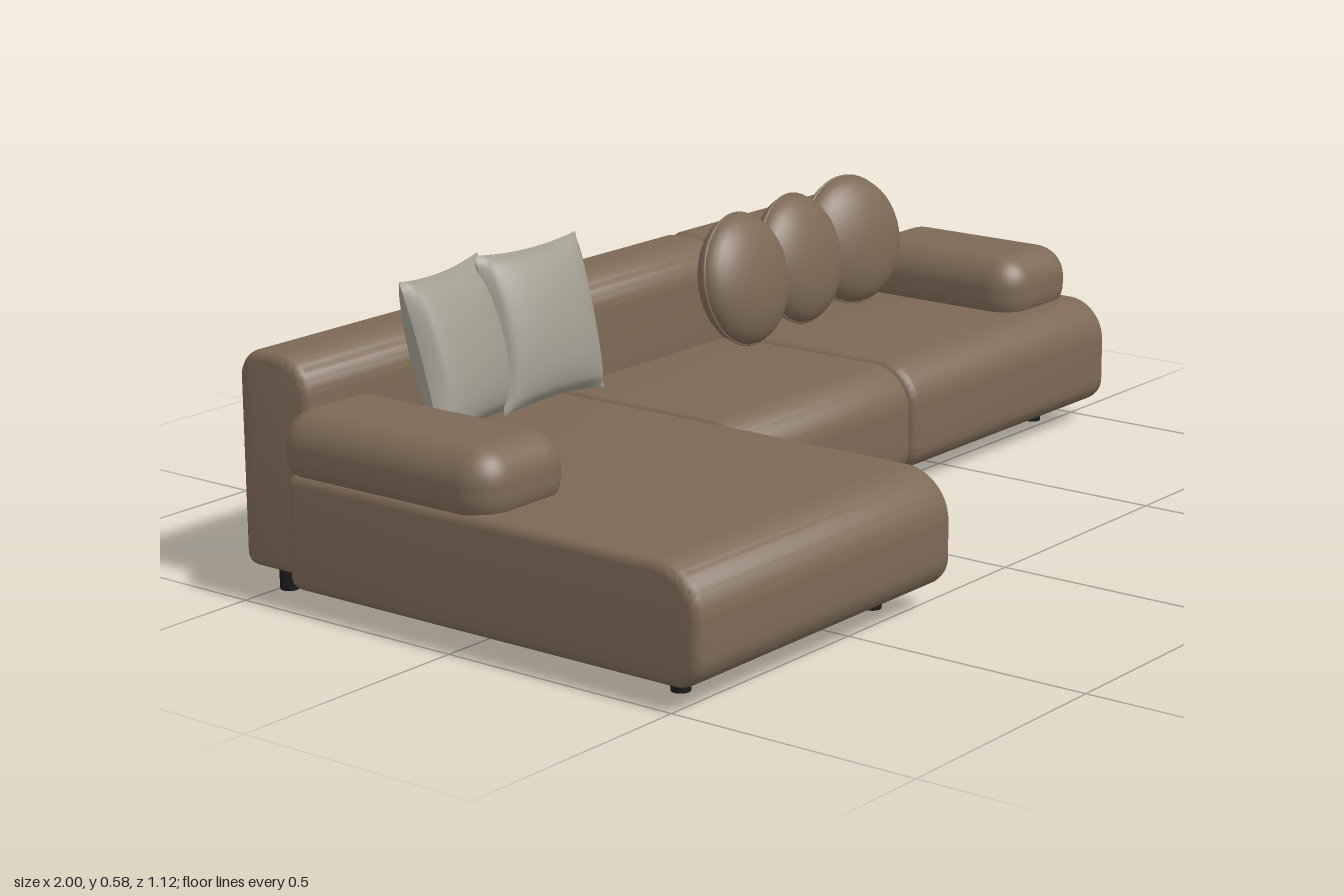
import * as THREE from 'three';
import { mergeGeometries, toCreasedNormals } from 'three/addons/utils/BufferGeometryUtils.js';
import { RoundedBoxGeometry } from 'three/addons/geometries/RoundedBoxGeometry.js';

export function createModel() {
  const sofa = new THREE.Group();
  sofa.name = 'sectionalSofa';
  const fabric = new THREE.MeshStandardMaterial({ color: 0x7d6955 });
  const linen = new THREE.MeshStandardMaterial({ color: 0xa19d90 });
  const black = new THREE.MeshStandardMaterial({ color: 0x1b1b1b });
  fabric.name = 'brownFabric';
  linen.name = 'greyLinen';
  black.name = 'blackLeg';

  const add = (name, geometry, material, x = 0, y = 0, z = 0, parent = sofa) => {
    const mesh = new THREE.Mesh(geometry, material);
    mesh.name = name;
    mesh.position.set(x, y, z);
    parent.add(mesh);
    return mesh;
  };

  // Upholstered block: a side profile with four corner radii, run along x with soft ends
  function block(x0, x1, z0, z1, y0, y1, [backLow, frontLow, frontTop, backTop]) {
    const s = new THREE.Shape();
    const arc = (cx, cy, r, start) => s.absarc(cx, cy, r, start, start + Math.PI / 2, false);
    arc(z0 + backLow, y0 + backLow, backLow, Math.PI);
    arc(z1 - frontLow, y0 + frontLow, frontLow, Math.PI * 1.5);
    arc(z1 - frontTop, y1 - frontTop, frontTop, 0);
    arc(z0 + backTop, y1 - backTop, backTop, Math.PI / 2);
    s.closePath();
    const b = 0.02;
    const g = new THREE.ExtrudeGeometry(s, {
      depth: x1 - x0 - 2 * b, curveSegments: 10,
      bevelSize: b, bevelThickness: b, bevelOffset: -b, bevelSegments: 4,
    });
    g.rotateY(-Math.PI / 2);
    g.translate(x1 - b, 0, 0);
    return toCreasedNormals(g, 0.6);
  }

  // Seats
  const seatRadii = [0.025, 0.05, 0.085, 0.025];
  add('chaiseSeat', block(-1, -0.263, -0.39, 0.56, 0.042, 0.262, [0.025, 0.06, 0.095, 0.025]), fabric);
  add('middleSeat', block(-0.26, 0.284, -0.39, 0.085, 0.042, 0.262, seatRadii), fabric);
  add('endSeat', block(0.287, 1, -0.39, 0.085, 0.042, 0.262, seatRadii), fabric);

  // Backrests
  [[-0.94, -0.263], [-0.26, 0.284], [0.287, 0.872]].forEach(([x0, x1]) =>
    add('backrest', block(x0, x1, -0.56, -0.387, 0.042, 0.457, [0.025, 0.025, 0.075, 0.055]), fabric));

  // Armrests
  add('rightArm', new RoundedBoxGeometry(0.24, 0.15, 0.515, 6, 0.066), fabric, -0.88, 0.3, -0.163);
  add('leftArm', new RoundedBoxGeometry(0.24, 0.15, 0.42, 6, 0.066), fabric, 0.88, 0.3, -0.207);

  // Legs
  const leg = new THREE.CylinderGeometry(0.019, 0.018, 0.055, 16);
  [[-0.9, 0.44], [-0.345, 0.44], [0.285, -0.035], [0.9, -0.035],
    [-0.9, -0.485], [-0.345, -0.485], [0.285, -0.485], [0.9, -0.485]].forEach(([x, z]) =>
    add('leg', leg, black, x, 0.0275, z));

  // Square scatter pillow: two puffed faces with pinched edges
  function pillowGeometry(half, puff) {
    const faces = [1, -1].map((side) => {
      const g = new THREE.PlaneGeometry(2, 2, 24, 24);
      const p = g.attributes.position;
      for (let i = 0; i < p.count; i++) {
        const u = p.getX(i), v = p.getY(i);
        const bulge = Math.pow(Math.max(0, (1 - u * u) * (1 - v * v)), 0.45);
        p.setXYZ(i, u * half * (1 - 0.07 * u * u * (1 - v * v)),
          v * half * (1 - 0.07 * v * v * (1 - u * u)), puff * bulge);
      }
      if (side < 0) g.rotateY(Math.PI);
      g.computeVertexNormals();
      return g;
    });
    return mergeGeometries(faces);
  }
  const pillow = pillowGeometry(0.153, 0.06);
  [[-0.613, 0.428, -0.312, -0.27, 0.26, -0.03], [-0.385, 0.43, -0.31, -0.24, 0.05, -0.03]]
    .forEach(([x, y, z, tilt, yaw, roll]) => {
      const m = add('squarePillow', pillow, linen, x, y, z);
      m.rotation.set(tilt, yaw, roll, 'YXZ');
    });

  // Round cushions with a piped rim
  const profile = [];
  for (let i = 0; i <= 20; i++) {
    const a = -Math.PI / 2 + (Math.PI * i) / 20;
    profile.push(new THREE.Vector2(0.133 * Math.max(0, Math.cos(a)), 0.06 * Math.sin(a)));
  }
  const disc = new THREE.LatheGeometry(profile, 40);
  disc.rotateX(Math.PI / 2);
  const piping = new THREE.TorusGeometry(0.133, 0.003, 6, 48);
  [[0.19, -0.268, 0.06], [0.403, -0.292, 0.06], [0.615, -0.312, -0.16]].forEach(([x, z, yaw]) => {
    const cushion = new THREE.Group();
    cushion.name = 'roundCushion';
    cushion.position.set(x, 0.412, z);
    cushion.rotation.set(-0.2, yaw, 0, 'YXZ');
    add('cushionBody', disc, fabric, 0, 0, 0, cushion);
    add('cushionPiping', piping, fabric, 0, 0, 0, cushion);
    sofa.add(cushion);
  });

  return sofa;
}
